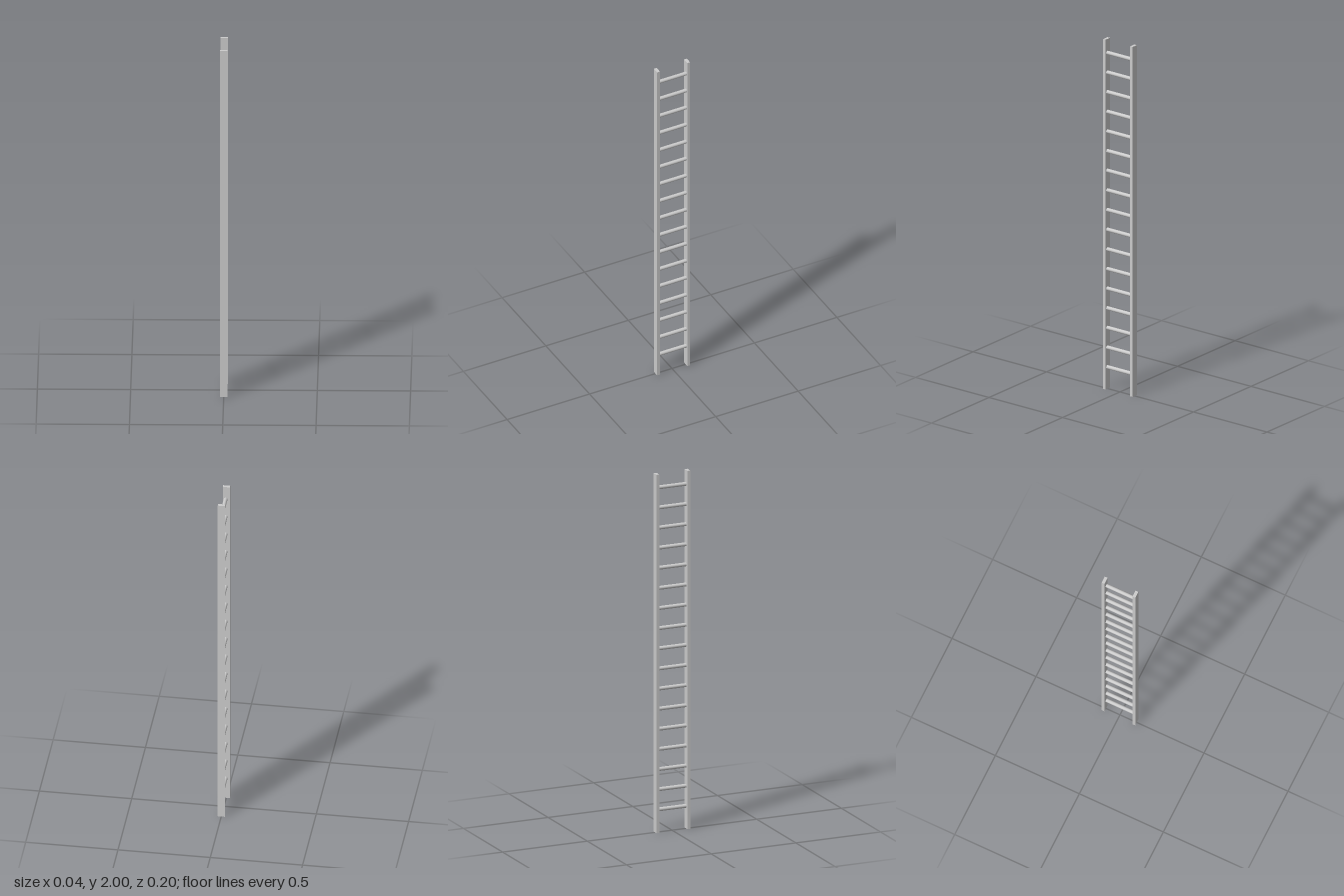
import * as THREE from 'three';

export function createModel() {
  const ladder = new THREE.Group();
  ladder.name = 'ladder';
  const material = new THREE.MeshStandardMaterial({ color: 0xcccccc });

  // Two upright side rails
  const railWidth = 0.038, railThickness = 0.017, height = 2;
  const railGeometry = new THREE.BoxGeometry(railWidth, height, railThickness);
  for (const side of [-1, 1]) {
    const rail = new THREE.Mesh(railGeometry, material);
    rail.name = side > 0 ? 'frontRail' : 'backRail';
    rail.position.set(0, height / 2, side * (0.1 - railThickness / 2));
    ladder.add(rail);
  }

  // Evenly spaced round rungs, set slightly off the rails' centre line
  const rungCount = 17, lowest = 0.125, highest = 1.922;
  const rungGeometry = new THREE.CylinderGeometry(0.0105, 0.0105, 0.17, 20).rotateX(Math.PI / 2);
  for (let i = 0; i < rungCount; i++) {
    const rung = new THREE.Mesh(rungGeometry, material);
    rung.name = `rung${i + 1}`;
    rung.position.set(0.0035, THREE.MathUtils.lerp(lowest, highest, i / (rungCount - 1)), 0);
    ladder.add(rung);
  }
  return ladder;
}
